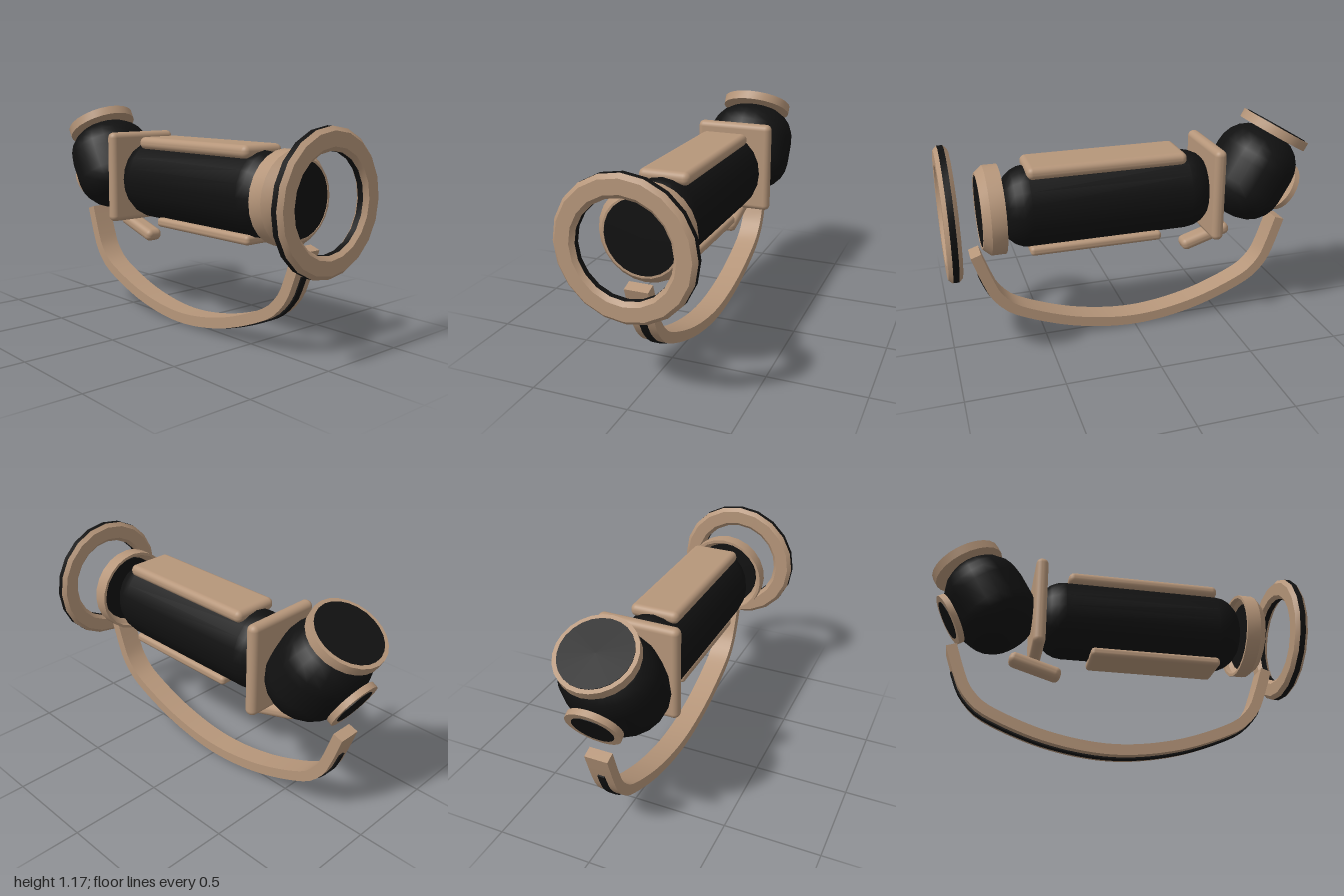
import * as THREE from 'three';
import { toCreasedNormals } from 'three/addons/utils/BufferGeometryUtils.js';
import { RoundedBoxGeometry } from 'three/addons/geometries/RoundedBoxGeometry.js';

export function createModel() {
  const model = new THREE.Group();
  const tan = new THREE.MeshStandardMaterial({ name: 'tan', color: 0xb6967a });
  const black = new THREE.MeshStandardMaterial({ name: 'black', color: 0x111111 });
  const AXIS_Y = 0.77;

  function add(name, geometry, material, y = 0, z = 0, parent = model) {
    const mesh = new THREE.Mesh(geometry, material);
    mesh.name = name;
    mesh.position.set(0, y, z);
    parent.add(mesh);
    return mesh;
  }

  // Turned part: profile of [radius, height], hard edges kept sharp
  function turned(profile, sides = 24) {
    const points = profile.map(([r, h]) => new THREE.Vector2(r, h));
    return toCreasedNormals(new THREE.LatheGeometry(points, sides), 0.6);
  }

  // Capsule-like solid: rounded ends given by a superellipse rule
  function capsule(half, cap, power, sides) {
    const points = [];
    const n = 6;
    for (let side = -1; side <= 1; side += 2) {
      for (let i = 0; i <= n; i++) {
        const a = (side < 0 ? i : n - i) / n * Math.PI / 2;
        const r = Math.pow(Math.sin(a), power);
        points.push(new THREE.Vector2(r, side * (half - cap + cap * Math.cos(a))));
      }
    }
    return new THREE.LatheGeometry(points, sides);
  }

  // Front halo: octagonal section with dark inner and outer bands
  const halo = new THREE.Group();
  halo.name = 'frontRing';
  halo.position.set(0, AXIS_Y, 0.965);
  halo.rotation.x = Math.PI / 2;
  model.add(halo);
  const face = [[0.345, 0.015], [0.325, 0.035], [0.255, 0.035], [0.235, 0.015]];
  const back = face.map(([r, h]) => [r, -h]).reverse();
  add('ringFrontFace', turned(face, 20), tan, 0, 0, halo);
  add('ringBackFace', turned(back, 20), tan, 0, 0, halo);
  add('ringOuterBand', turned([[0.345, -0.015], [0.345, 0.015]], 20), black, 0, 0, halo);
  add('ringInnerBand', turned([[0.235, 0.015], [0.235, -0.015]], 20), black, 0, 0, halo);

  // Front collar, open at the back, with a dark disc in its mouth
  const collar = turned([
    [0.185, 0.11], [0.185, 0.06], [0.215, 0.03], [0.215, 0],
    [0.23, 0], [0.23, 0.075], [0.195, 0.115], [0.185, 0.115], [0.185, 0.11],
  ]);
  add('frontCollar', collar, tan, AXIS_Y, 0.7).rotation.x = Math.PI / 2;
  const lens = new THREE.CylinderGeometry(0.186, 0.186, 0.07, 24);
  add('frontLens', lens, black, AXIS_Y, 0.777).rotation.x = Math.PI / 2;

  // Barrel
  const barrel = capsule(0.575, 0.155, 0.8, 20);
  barrel.rotateX(Math.PI / 2);
  barrel.scale(0.185, 0.215, 1);
  add('barrel', barrel, black, AXIS_Y, 0.145);

  // Grip pads and square plate
  add('topPad', new RoundedBoxGeometry(0.26, 0.065, 0.835, 3, 0.03), tan, 0.978, 0.158);
  add('bottomPad', new RoundedBoxGeometry(0.22, 0.05, 0.705, 3, 0.02), tan, 0.554, 0.223);
  add('squarePlate', new RoundedBoxGeometry(0.43, 0.5, 0.065, 3, 0.03), tan, 0.78, -0.413);

  // Trigger paddle
  const trigger = new RoundedBoxGeometry(0.1, 0.068, 0.285, 3, 0.03);
  add('trigger', trigger, tan, 0.48, -0.414).rotation.x = 0.3;

  // Tilted rear head
  const head = capsule(0.255, 0.19, 0.8, 20);
  head.scale(0.25, 1, 0.22);
  add('rearHead', head, black, 0.827, -0.666).rotation.x = -Math.PI / 6;

  // Rimmed ports on the head
  function port(name, radius, inner, thickness, y, z, angle) {
    const group = new THREE.Group();
    group.name = name;
    group.position.set(0, y, z);
    group.rotation.x = angle;
    model.add(group);
    add(name + 'Rim', toCreasedNormals(
      new THREE.CylinderGeometry(radius, radius, thickness, 24), 0.6), tan, 0, 0, group);
    add(name + 'Disc', new THREE.CylinderGeometry(inner, inner, 0.006, 24),
      black, thickness / 2, 0, group);
  }
  port('topPort', 0.197, 0.176, 0.048, 1.052, -0.806, -Math.PI / 6);
  port('rearPort', 0.138, 0.104, 0.032, 0.72, -0.87, -Math.PI * 2 / 3);

  // Curved handle under the body, with a dark strip on its outside
  const half = [[0.85, 0.547], [0.795, 0.385], [0.745, 0.287], [0.63, 0.193], [0.33, 0.082]];
  const path = [...half, [0, 0.038], ...half.map(([z, y]) => [-z, y]).reverse()];
  const curve = new THREE.SplineCurve(path.map(([z, y]) => new THREE.Vector2(z, y)));

  function band(inner, outer, width, from, to) {
    const near = [], far = [];
    const steps = 48;
    for (let i = 0; i <= steps; i++) {
      const u = from + (to - from) * i / steps;
      const p = curve.getPointAt(u), t = curve.getTangentAt(u);
      const normal = new THREE.Vector2(-t.y, t.x);
      near.push(p.clone().addScaledVector(normal, inner));
      far.push(p.clone().addScaledVector(normal, outer));
    }
    const shape = new THREE.Shape([...near, ...far.reverse()]);
    const geometry = new THREE.ExtrudeGeometry(shape, { depth: width, bevelEnabled: false });
    geometry.translate(0, 0, -width / 2);
    geometry.rotateY(-Math.PI / 2);
    return toCreasedNormals(geometry, 0.6);
  }
  add('handle', band(-0.028, 0.028, 0.12, 0, 1), tan);
  add('handleStrip', band(0.027, 0.036, 0.036, 0.06, 0.94), black);

  return model;
}
